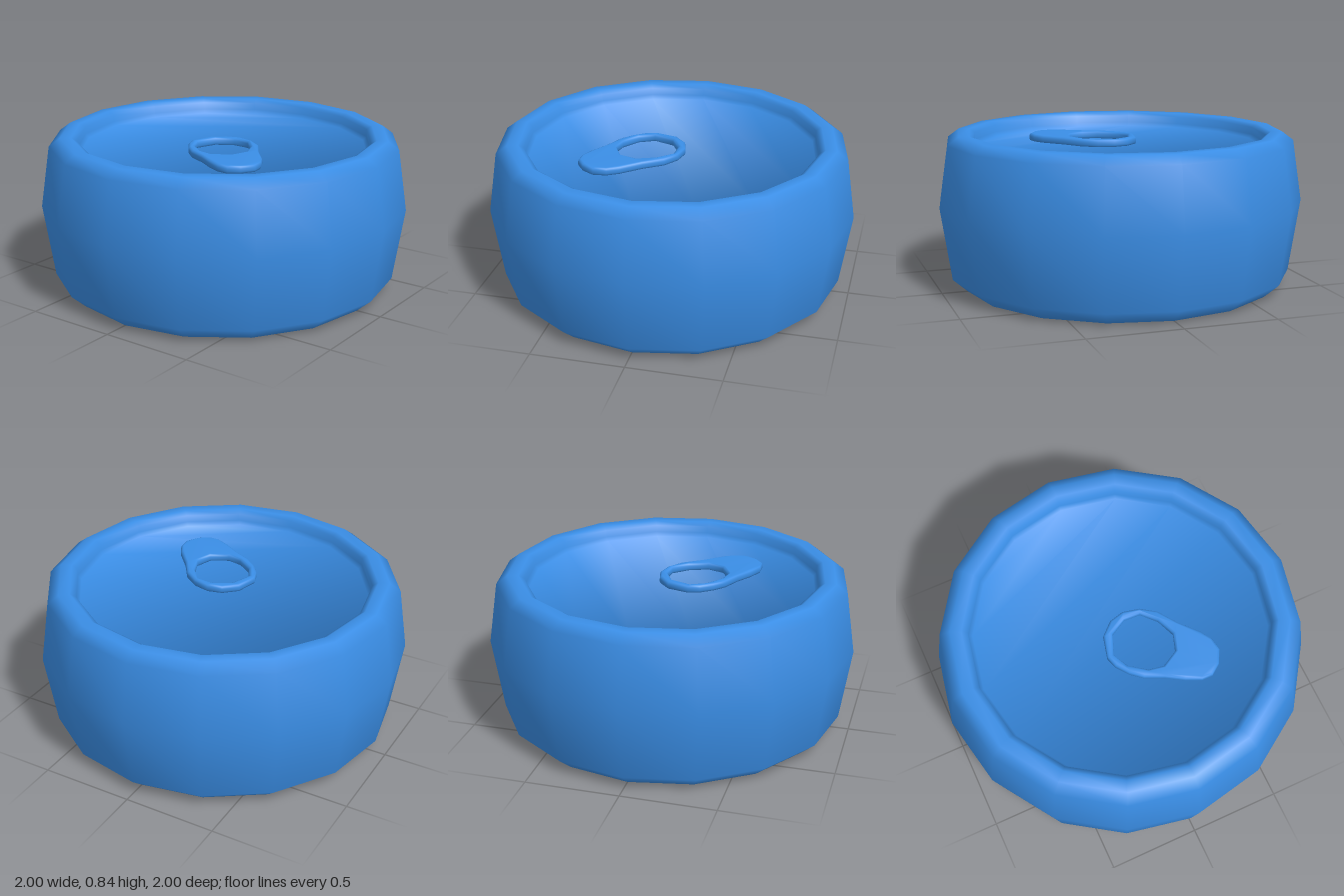
import * as THREE from 'three';
import { mergeVertices } from 'three/addons/utils/BufferGeometryUtils.js';

const SIDES = 16;

// Closes one ring of a lathe with a flat cap made of a zigzag strip
function capIndices(pointCount, ring, up) {
  const id = (k) => ((k + SIDES) % SIDES) * pointCount + ring;
  const order = [];
  for (let k = 0; k < SIDES / 2; k++) order.push(1 - k, 2 + k);
  const out = [];
  for (let k = 0; k + 2 < order.length; k++) {
    const t = order.slice(k, k + 3).sort((a, b) => a - b).map(id);
    out.push(...(up ? t : t.reverse()));
  }
  return out;
}

// Can wall, rolled rim and recessed lid in one smooth skin
function makeCan() {
  const profile = [
    [0.86, 0], [0.94, 0.07], [1, 0.465], [0.95, 0.795], [0.89, 0.84],
    [0.83, 0.84], [0.80, 0.82], [0.80, 0.78], [0.78, 0.76],
  ].map(([r, y]) => new THREE.Vector2(r, y));
  const g = new THREE.LatheGeometry(profile, SIDES);
  const n = profile.length;
  g.setIndex([
    ...g.index.array,
    ...capIndices(n, 0, false),
    ...capIndices(n, n - 1, true),
  ]);
  return g;
}

// Pull tab: finger ring with a rounded tail, lying on the lid
function makeTab() {
  const toPoints = (list) => list.map(([x, z]) => new THREE.Vector2(x, z));
  const shape = new THREE.Shape(toPoints([
    [-0.13, 0.12], [-0.1, 0], [-0.03, -0.065], [0.05, -0.085], [0.14, -0.065],
    [0.22, -0.01], [0.29, 0.09], [0.38, 0.19], [0.415, 0.25], [0.425, 0.32],
    [0.385, 0.39], [0.33, 0.43], [0.27, 0.43], [0.19, 0.395], [0.1, 0.34],
    [0, 0.295], [-0.06, 0.245], [-0.11, 0.18],
  ]));
  shape.holes.push(new THREE.Path(toPoints([
    [-0.09, 0.12], [-0.05, 0.01], [0.04, -0.04], [0.13, -0.035], [0.2, 0.04],
    [0.24, 0.14], [0.21, 0.23], [0.12, 0.28], [0.04, 0.265], [-0.05, 0.2],
  ])));
  let g = new THREE.ExtrudeGeometry(shape, {
    depth: 0.015, bevelEnabled: true, bevelThickness: 0.015,
    bevelSize: 0.014, bevelOffset: -0.014, bevelSegments: 2,
  });
  g.rotateX(Math.PI / 2);
  g.translate(0, 0.785, 0);
  g.deleteAttribute('uv');
  g.deleteAttribute('normal');
  g = mergeVertices(g);
  g.computeVertexNormals();
  return g;
}

export function createModel() {
  const group = new THREE.Group();
  group.name = 'tinCan';
  const blue = new THREE.MeshStandardMaterial({ color: 0x3a8ee6 });
  const add = (name, geometry) => {
    const mesh = new THREE.Mesh(geometry, blue);
    mesh.name = name;
    group.add(mesh);
  };
  add('canBody', makeCan());
  add('pullTab', makeTab());
  return group;
}
